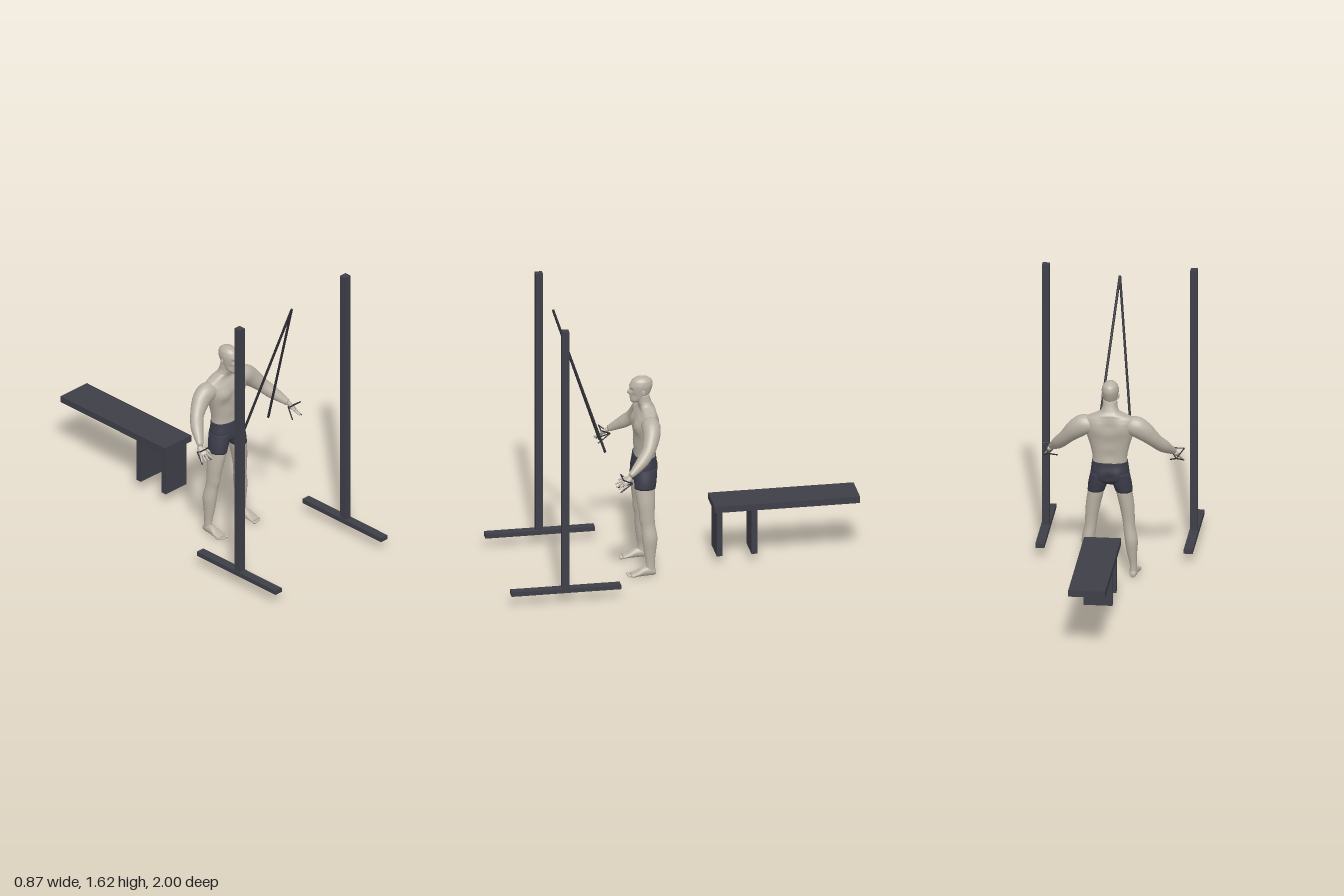
import * as THREE from 'three';

const V = (x, y, z) => new THREE.Vector3(x, y, z);
const UP = V(0, 1, 0), FRONT = V(0, 0, 1);

function material(name, color) {
  const m = new THREE.MeshStandardMaterial({ color });
  m.name = name;
  return m;
}

// Smooth closed skin through rings [x, y, z, halfWidth, halfDepth].
// axis fixes the ring plane; bumps [x, y, z, radius, dx, dy, dz] push the surface softly.
function loft(rings, { axis = null, ref = FRONT, sides = 24, steps = 5, power = 1, bumps = [] } = {}) {
  const path = new THREE.CatmullRomCurve3(rings.map(r => V(r[0], r[1], r[2])));
  const size = new THREE.CatmullRomCurve3(rings.map(r => V(r[3], r[4], 0)));
  const n = (rings.length - 1) * steps, pos = [], idx = [];
  const shape = v => Math.sign(v) * Math.abs(v) ** power;
  for (let i = -1; i <= n + 1; i++) {
    const t = Math.min(Math.max(i / n, 0), 1), cap = i < 0 || i > n ? 0 : 1;
    const c = path.getPoint(t), r = size.getPoint(t);
    const T = axis || path.getTangent(t);
    const U = T.clone().cross(ref).normalize(), W = U.clone().cross(T).normalize();
    for (let j = 0; j < sides; j++) {
      const a = (j / sides) * Math.PI * 2;
      const p = c.clone()
        .addScaledVector(U, cap * r.x * shape(Math.cos(a)))
        .addScaledVector(W, cap * r.y * shape(Math.sin(a)));
      const q = p.clone();
      for (const [x, y, z, rad, dx, dy, dz] of bumps) {
        const k = Math.exp(-p.distanceToSquared(V(x, y, z)) / (rad * rad));
        q.addScaledVector(V(dx, dy, dz), k);
      }
      pos.push(q.x, q.y, q.z);
    }
  }
  for (let i = 0; i < n + 2; i++) for (let j = 0; j < sides; j++) {
    const k = (j + 1) % sides, a = i * sides + j, b = i * sides + k;
    idx.push(a, a + sides, b, b, a + sides, b + sides);
  }
  const g = new THREE.BufferGeometry();
  g.setAttribute('position', new THREE.Float32BufferAttribute(pos, 3));
  g.setIndex(idx);
  g.computeVertexNormals();
  return g;
}

export function createModel() {
  const model = new THREE.Group();
  model.name = 'gymnast with equipment';
  const skin = material('skin', 0xb9b1a4);
  const frame = material('dark frame', 0x3e3e48);
  const cloth = material('shorts cloth', 0x3c3c4a);
  const rope = material('rope', 0x2e2e35);

  const add = (name, geo, mat, parent = model) => {
    const m = new THREE.Mesh(geo, mat);
    m.name = name;
    parent.add(m);
    return m;
  };
  const box = (name, w, h, d, x, y, z) =>
    add(name, new THREE.BoxGeometry(w, h, d), frame).position.set(x, y, z);
  const rod = (name, a, b, r) => {
    const m = add(name, new THREE.CylinderGeometry(r, r, a.distanceTo(b), 8), rope);
    m.position.copy(a).lerp(b, 0.5);
    m.quaternion.setFromUnitVectors(UP, b.clone().sub(a).normalize());
  };
  const blob = (name, x, y, z, rx, ry, rz, parent) => {
    const m = add(name, new THREE.SphereGeometry(1, 14, 10), skin, parent);
    m.position.set(x, y, z);
    m.scale.set(rx, ry, rz);
  };

  // Bench
  box('benchTop', 0.204, 0.037, 0.81, 0, 0.347, -0.595);
  for (const z of [-0.222, -0.415]) box('benchLeg', 0.16, 0.27, 0.033, 0, 0.195, z);

  // Posts, floor bars and hanging ropes
  for (const s of [-1, 1]) {
    box('post', 0.04, 1.535, 0.04, s * 0.409, 0.848, 0.698);
    box('postBase', 0.05, 0.025, 0.61, s * 0.409, 0.073, 0.695);
    rod('hangingRope', V(0, 1.565, 0.692), V(s * 0.092, 0.735, 0.418), 0.007);
  }

  const body = new THREE.Group();
  body.name = 'body';
  model.add(body);

  // Torso with chest, shoulder blades, spine and belly relief
  const torsoBumps = [[0, 0.85, 0.25, 0.03, 0, 0, -0.008], [0, 0.8, 0.115, 0.04, 0, 0, 0.009],
    [0, 0.89, 0.115, 0.04, 0, 0, 0.01], [0, 0.72, 0.115, 0.035, 0, 0, 0.008]];
  for (const s of [-1, 1]) torsoBumps.push(
    [s * 0.06, 0.86, 0.24, 0.045, 0, 0, 0.012], [s * 0.065, 0.805, 0.24, 0.03, 0, 0, -0.005],
    [s * 0.065, 0.88, 0.115, 0.045, 0, 0, -0.008], [s * 0.03, 0.74, 0.24, 0.025, 0, 0, 0.003],
    [s * 0.02, 0.925, 0.215, 0.02, 0, 0, 0.004]);
  add('torso', loft([
    [0, 0.64, 0.185, 0.095, 0.059], [0, 0.7, 0.183, 0.095, 0.058], [0, 0.76, 0.182, 0.106, 0.06],
    [0, 0.82, 0.181, 0.124, 0.064], [0, 0.87, 0.179, 0.14, 0.064], [0, 0.91, 0.174, 0.145, 0.056],
    [0, 0.935, 0.17, 0.132, 0.046], [0, 0.953, 0.17, 0.09, 0.042], [0, 0.97, 0.178, 0.052, 0.039],
    [0, 0.995, 0.187, 0.041, 0.038], [0, 1.03, 0.195, 0.038, 0.036]],
    { axis: UP, sides: 48, power: 0.85, bumps: torsoBumps }), skin, body);

  // Head with nose, brow, eye sockets and lips
  const headBumps = [[0, 1.042, 0.27, 0.011, 0, 0, 0.018], [0, 1.056, 0.27, 0.009, 0, 0, 0.009],
    [0, 1.018, 0.26, 0.011, 0, 0, 0.005], [0, 0.995, 0.258, 0.012, 0, 0, 0.005]];
  for (const s of [-1, 1]) headBumps.push(
    [s * 0.019, 1.062, 0.262, 0.011, 0, 0, -0.008], [s * 0.018, 1.078, 0.265, 0.012, 0, 0, 0.003],
    [s * 0.033, 1.03, 0.25, 0.014, -s * 0.003, 0, -0.003]);
  add('head', loft([
    [0, 0.985, 0.236, 0.016, 0.018], [0, 1, 0.225, 0.03, 0.035], [0, 1.02, 0.213, 0.037, 0.049],
    [0, 1.05, 0.207, 0.043, 0.059], [0, 1.083, 0.202, 0.047, 0.064], [0, 1.11, 0.199, 0.042, 0.057],
    [0, 1.127, 0.199, 0.027, 0.037], [0, 1.135, 0.199, 0.006, 0.008]],
    { axis: UP, sides: 56, steps: 8, bumps: headBumps }), skin, body);

  // Shorts: hip section
  const seat = [];
  for (const s of [-1, 1]) seat.push([s * 0.05, 0.595, 0.118, 0.04, 0, 0, -0.008]);
  seat.push([0, 0.59, 0.118, 0.018, 0, 0, 0.01], [0, 0.59, 0.255, 0.03, 0, 0, 0.006]);
  add('shortsHips', loft([
    [0, 0.548, 0.187, 0.06, 0.04], [0, 0.575, 0.188, 0.106, 0.063], [0, 0.62, 0.187, 0.106, 0.068],
    [0, 0.655, 0.186, 0.101, 0.065], [0, 0.677, 0.185, 0.099, 0.063]],
    { axis: UP, sides: 40, power: 0.88, bumps: seat }), cloth, body);

  for (const s of [-1, 1]) {
    const m = rows => rows.map(([x, ...r]) => [s * x, ...r]);
    // Shorts leg
    add('shortsLeg', loft(m([
      [0.058, 0.61, 0.187, 0.048, 0.064], [0.066, 0.55, 0.19, 0.053, 0.063],
      [0.077, 0.5, 0.193, 0.047, 0.058]]), { axis: UP.clone().negate() }), cloth, body);

    // Leg with knee cap and calf
    add('leg', loft(m([
      [0.075, 0.54, 0.192, 0.042, 0.053], [0.079, 0.49, 0.193, 0.044, 0.055],
      [0.092, 0.42, 0.191, 0.041, 0.05], [0.102, 0.34, 0.187, 0.035, 0.042],
      [0.107, 0.29, 0.182, 0.033, 0.039], [0.118, 0.22, 0.175, 0.036, 0.042],
      [0.123, 0.14, 0.175, 0.028, 0.034], [0.13, 0.07, 0.174, 0.019, 0.025],
      [0.13, 0.025, 0.173, 0.021, 0.027]]),
      { axis: UP.clone().negate(), bumps: [[s * 0.104, 0.315, 0.225, 0.025, 0, 0, 0.005]] }), skin, body);

    // Foot and toes
    add('foot', loft(m([
      [0.13, 0.02, 0.144, 0.015, 0.016], [0.13, 0.027, 0.17, 0.022, 0.027],
      [0.131, 0.026, 0.21, 0.025, 0.026], [0.132, 0.016, 0.25, 0.03, 0.016],
      [0.132, 0.01, 0.284, 0.03, 0.01]]), { axis: FRONT, ref: UP }), skin, body);
    for (let i = 0; i < 5; i++) {
      const w = i ? 0.0055 : 0.0085;
      blob('toe', s * (0.109 + i * 0.0122), w + 0.001, 0.292 - i * i * 0.0012, w, w, 0.014, body);
    }

    blob('ear', s * 0.046, 1.05, 0.196, 0.005, 0.016, 0.01, body);

    // Arm, reaching out, down and forward
    add('arm', loft(m([
      [0.095, 0.885, 0.175, 0.046, 0.046], [0.145, 0.884, 0.172, 0.058, 0.052],
      [0.185, 0.858, 0.176, 0.055, 0.048], [0.22, 0.824, 0.189, 0.046, 0.042],
      [0.252, 0.788, 0.208, 0.039, 0.036], [0.285, 0.75, 0.243, 0.037, 0.034],
      [0.315, 0.715, 0.286, 0.027, 0.025], [0.338, 0.688, 0.322, 0.018, 0.015]])), skin, body);

    // Hand with spread fingers
    const d = V(s * 0.15, -0.55, 0.8).normalize(), across = V(s * 0.8, -0.45, -0.45).normalize();
    const palm = d.clone().cross(across);
    const at = (along, side) => V(s * 0.352, 0.655, 0.362).addScaledVector(d, along).addScaledVector(across, side);
    const limb = (name, pts) => add(name, loft(pts.map(([f, c, a, b]) => [...at(f, c).toArray(), a, b]),
      { ref: palm, sides: 12, steps: 4 }), skin, body);
    limb('palm', [[-0.052, 0, 0.015, 0.013], [-0.03, 0, 0.02, 0.012], [-0.01, 0, 0.023, 0.011], [0.005, 0, 0.02, 0.008]]);
    for (let i = 0; i < 4; i++) {
      const c = (i - 1.5) * 0.0115, tip = 0.046 - Math.abs(i - 1.3) * 0.006;
      limb('finger', [[-0.005, c, 0.0055, 0.006], [tip / 2, c * 1.35, 0.005, 0.005],
        [tip, c * 1.7, 0.0035, 0.0035]]);
    }
    limb('thumb', [[-0.035, -0.012, 0.008, 0.008], [-0.015, -0.029, 0.007, 0.007], [0.01, -0.037, 0.004, 0.004]]);

    // Triangular hand strap
    const a = V(s * 0.39, 0.69, 0.37), b = V(s * 0.308, 0.69, 0.37);
    const c = V(s * 0.352, 0.65, 0.312), e = V(s * 0.312, 0.615, 0.385), f = V(s * 0.385, 0.615, 0.385);
    for (const [p, q] of [[a, b], [a, c], [b, c], [c, e], [c, f]]) rod('handStrap', p, q, 0.0035);
  }
  return model;
}
